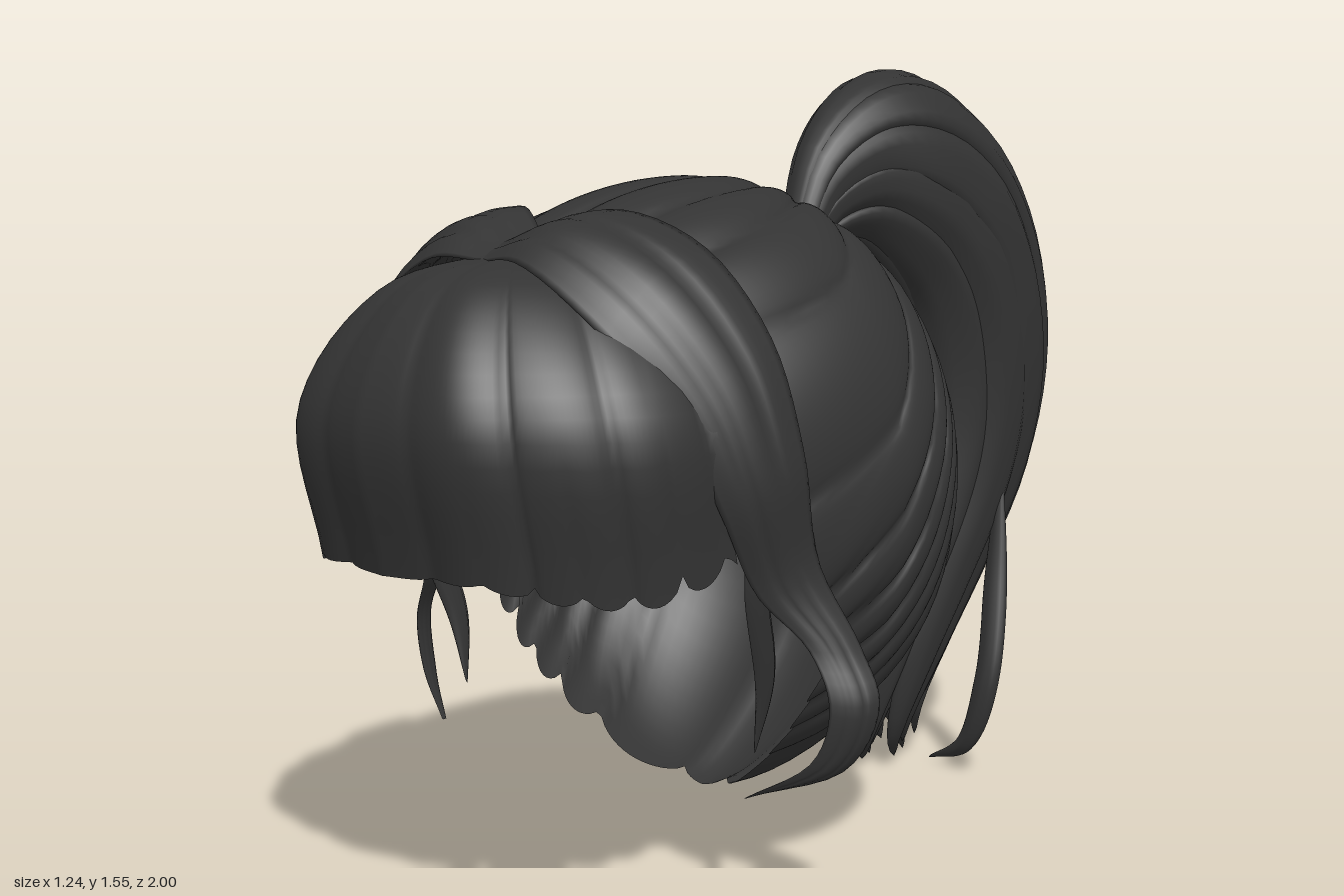
import * as THREE from 'three';
import { mergeVertices } from 'three/addons/utils/BufferGeometryUtils.js';

const V = (x, y, z) => new THREE.Vector3(x, y, z);
const curve = pts => new THREE.CatmullRomCurve3(pts.map(p => V(...p)));
const step = THREE.MathUtils.smoothstep;
const hair = new THREE.MeshStandardMaterial({ color: 0x333333, side: THREE.DoubleSide });
const band = new THREE.MeshStandardMaterial({ color: 0x2c2c2c });

// Rounded lobes with sharp seams between them, 0 at a seam and 1 mid-clump
const lobe = t => Math.sqrt(Math.abs(Math.sin(Math.PI * t)));
const noise = i => { const s = Math.sin(i * 127.1 + 3.7) * 4375.85; return s - Math.floor(s); };

// Smooth surface from a rule f(u, v), u and v in 0..1
function surface(name, f, nu, nv) {
  const pos = [], idx = [];
  for (let j = 0; j <= nv; j++)
    for (let i = 0; i <= nu; i++) pos.push(...f(i / nu, j / nv).toArray());
  for (let j = 0; j < nv; j++)
    for (let i = 0; i < nu; i++) {
      const a = j * (nu + 1) + i, b = a + nu + 1;
      idx.push(a, a + 1, b, b, a + 1, b + 1);
    }
  let geo = new THREE.BufferGeometry();
  geo.setAttribute('position', new THREE.Float32BufferAttribute(pos, 3));
  geo.setIndex(idx);
  geo = mergeVertices(geo, 1e-5);
  geo.computeVertexNormals();
  const mesh = new THREE.Mesh(geo, hair);
  mesh.name = name;
  return mesh;
}

// Egg-shaped head volume, pinched towards the nape
const centre = V(0, 0.8, 0.15);
const toUnit = p => {
  const d = p.clone().sub(centre);
  return V(d.x / 0.53, d.y / (d.y > 0 ? 0.57 : 0.65), d.z / (d.z > 0 ? 0.73 : 0.47)).normalize();
};
const fromUnit = (d, r) => {
  const pinch = d.y < 0 ? 1 - 0.32 * d.y ** 4 : 1;
  return V(d.x * 0.53 * r * pinch, d.y * (d.y > 0 ? 0.57 : 0.65) * r,
    d.z * (d.z > 0 ? 0.73 : 0.47) * r * pinch).add(centre);
};

// Hair pulled back over the head, fanning from the tie to the hairline
function scalp() {
  const hairline = curve([[0, 1.28, 0.58], [0.3, 1.2, 0.55], [0.48, 0.95, 0.46], [0.5, 0.63, 0.42],
    [0.47, 0.55, 0.3], [0.42, 0.36, 0.29], [0.28, 0.24, 0.25], [0, 0.16, 0.15]]);
  const root = toUnit(V(0, 1.22, -0.12));
  return surface('pulledBackHair', (u, v) => {
    const s = Math.abs(u * 2 - 1), side = u < 0.5 ? -1 : 1;
    const end = toUnit(hairline.getPoint(s));
    end.x *= side;
    // strands sag on their way forward, and vary in width
    const clumps = q => q * 11 + 0.6 * Math.sin(q * 9) + 0.15 * side * Math.sin(q * Math.PI);
    const k = clumps(s - 0.09 * Math.sin(v * Math.PI) * Math.sin(s * Math.PI));
    const t = v * (1 - 0.035 * (1 - lobe(clumps(s))) * step(s, 0.4, 0.5));
    const ang = root.angleTo(end);
    const d = root.clone().multiplyScalar(Math.sin((1 - t) * ang))
      .addScaledVector(end, Math.sin(t * ang)).divideScalar(Math.sin(ang));
    return fromUnit(d, 1 + 0.032 * (lobe(k) - 0.75) * Math.min(1, t * 3));
  }, 280, 30);
}

// Full fringe falling from the parting over the forehead
function fringe() {
  const hem = curve([[0, 0.69, 0.94], [0.2, 0.69, 0.91], [0.32, 0.66, 0.81],
    [0.41, 0.65, 0.69], [0.46, 0.7, 0.53]]);
  return surface('fringe', (u, v) => {
    const s = u * 2 - 1, b = hem.getPoint(Math.abs(s));
    b.x *= Math.sign(s);
    const k = s * 3.6 + 0.5;
    const strand = curve([[0, 1.25, 0.62], [b.x * 0.55, 1.185, 0.62 + (b.z - 0.62) * 0.75],
      [b.x * 0.98, 0.97, b.z + 0.05], [b.x, b.y + 0.05 * (1 - lobe(k * 2)) * Math.abs(s), b.z]]);
    const p = strand.getPoint(v);
    const out = V(p.x, 0, p.z - 0.45).normalize();
    return p.addScaledVector(out, 0.014 * (lobe(k) - 0.5) * Math.min(1, v * 2));
  }, 120, 20);
}

// Swept lock: a lens-shaped section between a back rail and a front rail
function sideLock(side) {
  const back = curve([[0, 1.27, 0.56], [0.12, 1.32, 0.5], [0.3, 1.26, 0.45], [0.44, 1.1, 0.42],
    [0.51, 0.9, 0.41], [0.51, 0.7, 0.37], [0.575, 0.55, 0.33], [0.62, 0.45, 0.33],
    [0.57, 0.33, 0.36], [0.42, 0.27, 0.46]]);
  const front = curve([[0, 1.23, 0.71], [0.12, 1.23, 0.73], [0.3, 1.12, 0.71], [0.42, 0.95, 0.63],
    [0.46, 0.8, 0.57], [0.47, 0.65, 0.49], [0.53, 0.55, 0.42], [0.57, 0.45, 0.41],
    [0.54, 0.35, 0.42], [0.42, 0.27, 0.47]]);
  return surface(side > 0 ? 'leftSideLock' : 'rightSideLock', (u, v) => {
    const outer = u <= 0.5, w = outer ? u * 2 : 2 - u * 2;
    const a = back.getPoint(v), b = front.getPoint(v), width = a.distanceTo(b);
    const p = a.lerp(b, w), out = p.clone().sub(centre).normalize();
    const bulge = Math.sin(Math.PI * w) * (0.75 + 0.25 * lobe(w * 3));
    p.addScaledVector(out, width * bulge * (outer ? 0.13 : -0.05));
    p.x *= side;
    return p;
  }, 36, 48);
}

// Tapered clump with a flat oval section; path(v) runs from root to tip
function clump(name, path, wide, thick, turn) {
  return surface(name, (u, v) => {
    const t = path(Math.min(1, v + 0.01)).sub(path(Math.max(0, v - 0.01))).normalize();
    const n = V(1, 0, 0).cross(t).normalize(), x = t.clone().cross(n);
    const grow = 0.28 + 0.72 * step(v, 0, 0.35);
    const taper = v === 1 ? 0 : Math.pow(1 - step(v, 0.5, 1.03), 0.6);
    const a = u * Math.PI * 2, r = grow * taper;
    const p = Math.cos(a) * wide * r, q = Math.sin(a) * thick * r * (0.85 + 0.15 * lobe(u * 6));
    const c = Math.cos(turn), s = Math.sin(turn);
    return path(v).addScaledVector(x, p * c - q * s).addScaledVector(n, p * s + q * c);
  }, 18, 44);
}

// Ponytail: a ring of clumps between an outer and an inner sweep
function ponytail() {
  const g = new THREE.Group();
  g.name = 'ponytail';
  const outer = curve([[0, 1.24, -0.11], [0, 1.44, -0.2], [0, 1.56, -0.36], [0, 1.585, -0.53],
    [0, 1.5, -0.74], [0, 1.31, -0.91], [0, 1.05, -0.99], [0, 0.8, -0.975], [0, 0.58, -0.88],
    [0, 0.36, -0.77], [0, 0.16, -0.7], [0, 0.04, -0.76]]);
  const inner = curve([[0, 1.18, -0.17], [0, 1.21, -0.25], [0, 1.2, -0.34], [0, 1.13, -0.44],
    [0, 1.02, -0.52], [0, 0.88, -0.55], [0, 0.74, -0.55], [0, 0.6, -0.52], [0, 0.43, -0.47],
    [0, 0.24, -0.43], [0, 0.08, -0.44], [0, 0, -0.52]]);
  const add = (name, phi, rad, wide, thick, seed) => {
    const flick = 0.06 + 0.1 * noise(seed), len = 0.95 + 0.05 * noise(seed + 20);
    g.add(clump(name, v => {
      const t = v * len, w = 0.5 - 0.4 * rad * Math.cos(phi);
      const spread = 0.22 + 0.78 * step(t, 0, 0.4) - 0.45 * step(t, 0.5, 1);
      const p = outer.getPoint(t).lerp(inner.getPoint(t), w);
      p.x = 0.15 * rad * Math.sin(phi) * spread - 0.05 * Math.min(1, t * 3)
        - flick * Math.pow(t, 7) - 0.04 * t;
      return p;
    }, wide, thick, -phi));
  };
  const n = 10;
  for (let i = 0; i < n; i++)
    add('tailClump', i / n * Math.PI * 2, 1, 0.085 + 0.015 * noise(i + 60), 0.05, i);
  for (let i = 0; i < 4; i++) add('innerTailClump', i * 1.57 + 0.5, 0.4, 0.09, 0.07, i + 11);
  // Loose strand curling under the tail
  const loose = curve([[0.07, 0.75, -0.75], [0.1, 0.5, -0.7], [0.13, 0.25, -0.63],
    [0.08, 0.1, -0.62], [-0.04, 0.04, -0.64]]);
  g.add(clump('looseStrand', v => loose.getPoint(v), 0.03, 0.02, 0));
  return g;
}

export function createModel() {
  const model = new THREE.Group();
  model.name = 'ponytailHair';
  model.add(scalp(), fringe(), sideLock(1), sideLock(-1), ponytail());

  // Thin wisps in front of the ears
  for (const side of [1, -1]) {
    const path = curve([[0.47 * side, 0.85, 0.5], [0.45 * side, 0.65, 0.47],
      [0.425 * side, 0.48, 0.42], [0.4 * side, 0.34, 0.42]]);
    model.add(clump('earWisp', v => path.getPoint(v), 0.012, 0.03, 0));
  }

  // Hair tie around the root of the tail
  const tie = new THREE.Mesh(new THREE.TorusGeometry(0.062, 0.024, 10, 28), band);
  tie.name = 'hairTie';
  tie.scale.z = 1.3;
  tie.position.set(0, 1.22, -0.15);
  tie.lookAt(0, 1.22 + 0.64, -0.15 - 0.77);
  model.add(tie);
  return model;
}
